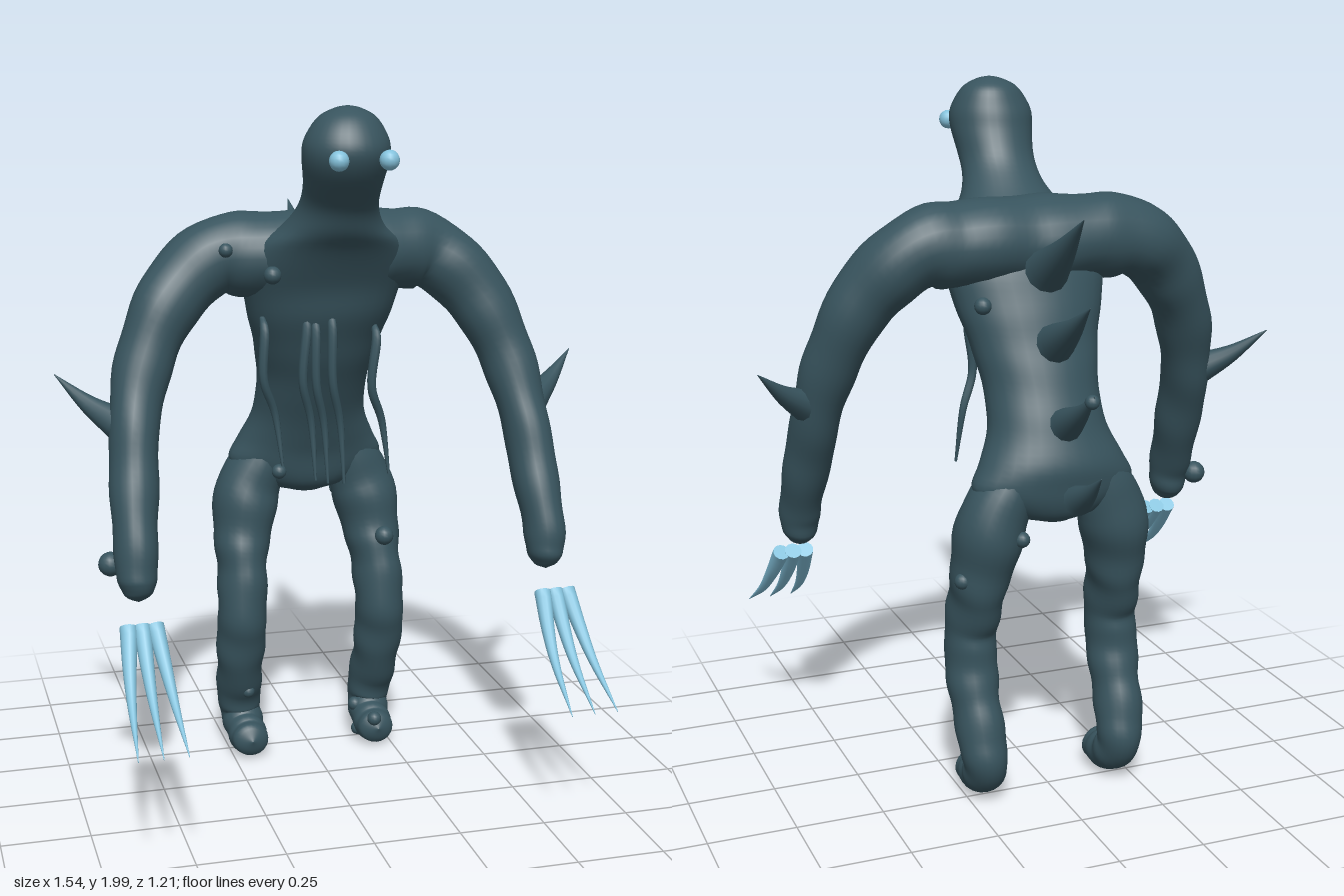
import * as THREE from 'three';

const skin = new THREE.MeshStandardMaterial({ color: 0x38545e });
skin.name = 'dark teal skin';
const pale = new THREE.MeshStandardMaterial({ color: 0x84c2dc });
pale.name = 'pale blue claw';

const X = new THREE.Vector3(1, 0, 0), Y = new THREE.Vector3(0, 1, 0), Z = new THREE.Vector3(0, 0, 1);

// Closed skin over elliptical rings. Each point is [x, y, z, ra, rb]; ra lies along ref.
// plane fixes the ring normal, otherwise rings follow the path.
function loft(points, { ref = X, plane = null, rings = 40, sides = 24, bump = 0 } = {}) {
  const path = new THREE.CatmullRomCurve3(points.map(p => new THREE.Vector3(p[0], p[1], p[2])), false, 'catmullrom');
  const radii = new THREE.CatmullRomCurve3(points.map(p => new THREE.Vector3(p[3], p[4] ?? p[3], 0)), false, 'catmullrom');
  const pos = [], index = [];
  const ring = i => {
    const t = i / rings, c = path.getPoint(t), r = radii.getPoint(t);
    const T = plane ?? path.getTangent(t);
    const e1 = ref.clone().addScaledVector(T, -ref.dot(T)).normalize();
    const e2 = new THREE.Vector3().crossVectors(T, e1);
    for (let j = 0; j < sides; j++) {
      const a = j / sides * Math.PI * 2;
      const k = 1 + bump * (Math.sin(i * 0.95) + Math.sin(i * 0.6 + 2 * a));
      const p = c.clone().addScaledVector(e1, Math.cos(a) * k * Math.max(r.x, 0.001))
        .addScaledVector(e2, Math.sin(a) * k * Math.max(r.y, 0.001));
      pos.push(p.x, p.y, p.z);
    }
    return c;
  };
  for (let i = 0; i <= rings; i++) ring(i);
  for (let i = 0; i < rings; i++) for (let j = 0; j < sides; j++) {
    const n = (j + 1) % sides, a = i * sides + j, b = i * sides + n;
    index.push(a, b, a + sides, b, b + sides, a + sides);
  }
  // End caps with their own vertices keep the rim sharp
  for (const end of [0, rings]) {
    const start = pos.length / 3, c = ring(end), mid = start + sides;
    pos.push(c.x, c.y, c.z);
    for (let j = 0; j < sides; j++) {
      const a = start + j, b = start + (j + 1) % sides;
      index.push(mid, ...(end ? [a, b] : [b, a]));
    }
  }
  const geo = new THREE.BufferGeometry();
  geo.setAttribute('position', new THREE.Float32BufferAttribute(pos, 3));
  geo.setIndex(index);
  geo.computeVertexNormals();
  return geo;
}

export function createModel() {
  const model = new THREE.Group();
  model.name = 'clawedCreature';
  const add = (name, geo, mat = skin) => {
    const mesh = new THREE.Mesh(geo, mat);
    mesh.name = name;
    model.add(mesh);
    return mesh;
  };
  const ball = (name, [x, y, z, r], mat) =>
    add(name, new THREE.SphereGeometry(r, 14, 10), mat).position.set(x, y, z);

  // Hunched torso, neck and head, in level slices
  add('torsoAndHead', loft([
    [0, 0.83, -0.275, 0.05, 0.05], [0, 0.86, -0.275, 0.15, 0.09], [0, 0.93, -0.275, 0.235, 0.11],
    [0, 1.0, -0.265, 0.205, 0.125], [0, 1.1, -0.225, 0.168, 0.13], [0, 1.2, -0.18, 0.165, 0.137],
    [0, 1.3, -0.135, 0.185, 0.14], [0, 1.4, -0.095, 0.21, 0.145], [0, 1.5, -0.06, 0.235, 0.14],
    [0, 1.6, -0.005, 0.21, 0.145], [0, 1.66, 0.05, 0.15, 0.135], [0, 1.72, 0.105, 0.112, 0.113],
    [-0.005, 1.79, 0.175, 0.108, 0.113], [-0.008, 1.86, 0.215, 0.118, 0.12], [-0.008, 1.92, 0.222, 0.112, 0.105],
    [-0.005, 1.97, 0.217, 0.077, 0.075], [-0.003, 1.993, 0.215, 0.035, 0.035], [-0.003, 2.0, 0.215, 0.001, 0.001],
  ], { plane: Y, rings: 85, sides: 32, bump: 0.006 }));

  // Both arms and the shoulders are one continuous tube, hand to hand
  const arm = [
    [0.2, 1.575, -0.08, 0.13, 0.12], [0.33, 1.56, -0.085, 0.107, 0.108], [0.45, 1.45, -0.045, 0.095, 0.095],
    [0.53, 1.29, 0.0, 0.08, 0.082], [0.57, 1.12, 0.06, 0.078, 0.07], [0.585, 0.95, 0.13, 0.076, 0.067],
    [0.595, 0.8, 0.195, 0.068, 0.06], [0.595, 0.72, 0.213, 0.06, 0.052], [0.595, 0.685, 0.22, 0.035, 0.03],
    [0.595, 0.672, 0.223, 0.001, 0.001],
  ];
  const otherArm = arm.map(([x, ...rest]) => [-x, ...rest]).reverse();
  add('armsAndShoulders', loft([...otherArm, [0, 1.57, -0.065, 0.15, 0.125], ...arm],
    { ref: Z, rings: 140, bump: 0.02 }));

  for (const s of [-1, 1]) {
    const side = s > 0 ? 'left' : 'right';

    // Leg with its bent foot
    add(side + 'Leg', loft([
      [0.13, 0.95, -0.275, 0.07, 0.09], [0.18, 0.83, -0.273, 0.1, 0.1], [0.202, 0.7, -0.25, 0.085, 0.097],
      [0.21, 0.6, -0.222, 0.075, 0.095], [0.215, 0.5, -0.195, 0.073, 0.087], [0.218, 0.4, -0.205, 0.074, 0.08],
      [0.217, 0.3, -0.233, 0.07, 0.077], [0.213, 0.2, -0.275, 0.068, 0.073], [0.207, 0.125, -0.288, 0.063, 0.066],
      [0.202, 0.082, -0.252, 0.06, 0.062], [0.2, 0.066, -0.2, 0.058, 0.056], [0.2, 0.068, -0.155, 0.047, 0.045],
      [0.2, 0.07, -0.132, 0.001, 0.001],
    ].map(([x, ...rest]) => [s * x, ...rest]), { rings: 75, bump: 0.022 }));

    // Elbow spike
    add(side + 'ElbowSpike', loft([
      [s * 0.6, 1.125, 0.045, 0.05], [s * 0.685, 1.18, -0.015, 0.026], [s * 0.77, 1.257, -0.076, 0.001],
    ], { ref: Z, rings: 10, sides: 12 }));

    // Three curved claws fanned below the hand
    for (const f of [-1, 0, 1]) {
      const x = s * 0.598 + f * 0.036;
      add(side + 'Claw', loft([
        [x, 0.623, 0.287, 0.025], [x + f * 0.012, 0.535, 0.365, 0.019],
        [x + f * 0.021, 0.457, 0.455, 0.012], [x + f * 0.031, 0.368, 0.604, 0.001],
      ], { rings: 14, sides: 12 }), pale);
    }
    ball(side + 'Eye', [s * 0.068, 1.866, 0.367, 0.027], pale);
  }

  // Row of back spikes: base y, z, tip y, z, radius
  for (const [y0, z0, y1, z1, r] of [
    [1.51, -0.225, 1.685, -0.473, 0.062], [1.325, -0.29, 1.463, -0.518, 0.055],
    [1.117, -0.368, 1.238, -0.553, 0.047], [0.928, -0.452, 1.03, -0.602, 0.042],
  ]) {
    add('backSpike', loft([
      [0, y0, z0, r], [0, (y0 + y1) / 2 - 0.008, (z0 + z1) / 2, r * 0.52], [0, y1, z1, 0.001],
    ], { rings: 10, sides: 12 }));
  }

  // Tendrils hanging from the chest: x at top, middle, bottom, then top and bottom y
  for (const [a, b, c, top, low] of [
    [-0.185, -0.19, -0.135, 1.4, 0.97], [-0.07, -0.083, -0.045, 1.42, 0.93], [-0.045, -0.045, -0.01, 1.41, 0.92],
    [0.0, 0.0, 0.035, 1.42, 0.92], [0.14, 0.125, 0.18, 1.37, 0.93],
  ]) {
    const h = top - low, z = 0.05 - Math.abs(a) * 0.25;
    add('tendril', loft([
      [a, top, z - 0.03, 0.008], [a, top - h * 0.1, z, 0.014], [b, top - h * 0.4, z + 0.005, 0.013],
      [(b + c) / 2 + 0.01, top - h * 0.65, z - 0.015, 0.011], [c, low, z, 0.004],
    ], { rings: 24, sides: 8 }));
  }

  // Scattered warts
  for (const w of [
    [-0.298, 1.6, 0.025, 0.02], [-0.18, 1.535, 0.085, 0.025], [-0.107, 0.912, -0.16, 0.022],
    [0.217, 0.692, -0.15, 0.029], [-0.2, 0.212, -0.198, 0.02], [-0.66, 0.765, 0.155, 0.034],
    [0.17, 1.42, -0.187, 0.024], [0.272, 0.68, -0.29, 0.023], [0, 1.22, -0.537, 0.02],
    [0.155, 0.115, -0.25, 0.022], [0.155, 0.045, -0.22, 0.02], [0.19, 0.1, -0.15, 0.022],
    [0.12, 0.8, -0.35, 0.022],
  ]) ball('wart', w);

  return model;
}
